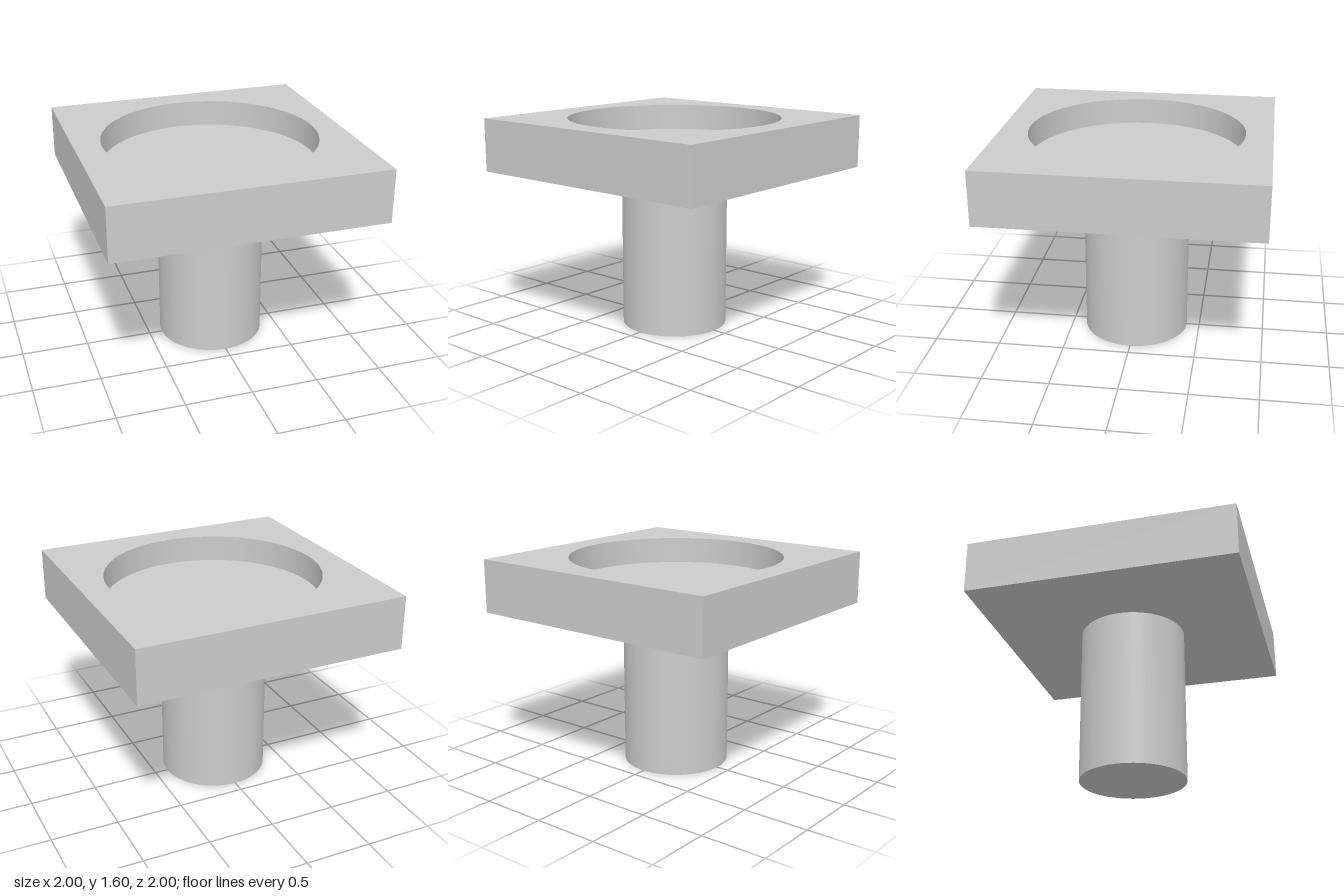
import * as THREE from 'three';
import { mergeGeometries } from 'three/addons/utils/BufferGeometryUtils.js';

const SEGMENTS = 96;
const BOTTOM = 1.2, FLOOR = 1.4, TOP = 1.6, HALF = 1, RECESS = 0.8;

// Square plate with a round blind recess, as one closed skin
function plateGeometry() {
  // Sides and underside: a box without its top face
  const shell = new THREE.BoxGeometry(2 * HALF, TOP - BOTTOM, 2 * HALF);
  const index = Array.from(shell.index.array);
  index.splice(12, 6);
  shell.setIndex(index);
  shell.clearGroups();
  shell.translate(0, (TOP + BOTTOM) / 2, 0);

  // Top face with the round opening
  const square = new THREE.Shape([
    new THREE.Vector2(-HALF, -HALF), new THREE.Vector2(HALF, -HALF),
    new THREE.Vector2(HALF, HALF), new THREE.Vector2(-HALF, HALF),
  ]);
  square.holes.push(new THREE.Path().absarc(0, 0, RECESS, 0, Math.PI * 2, true));
  const top = new THREE.ShapeGeometry(square, SEGMENTS);
  top.rotateX(-Math.PI / 2).translate(0, TOP, 0);

  // Recess wall, profile running downwards so that it faces inwards
  const wall = new THREE.LatheGeometry(
    [new THREE.Vector2(RECESS, TOP), new THREE.Vector2(RECESS, FLOOR)], SEGMENTS);

  // Recess floor
  const floor = new THREE.CircleGeometry(RECESS, SEGMENTS);
  floor.rotateX(-Math.PI / 2).translate(0, FLOOR, 0);

  return mergeGeometries([shell, top, wall, floor]);
}

export function createModel() {
  const model = new THREE.Group();
  model.name = 'recessedPlateOnPost';
  const material = new THREE.MeshStandardMaterial({ color: 0xcccccc });

  const plate = new THREE.Mesh(plateGeometry(), material);
  plate.name = 'recessedPlate';

  // Round post under the plate
  const post = new THREE.Mesh(new THREE.CylinderGeometry(0.4, 0.4, BOTTOM, SEGMENTS), material);
  post.name = 'post';
  post.position.y = BOTTOM / 2;

  model.add(plate, post);
  return model;
}
